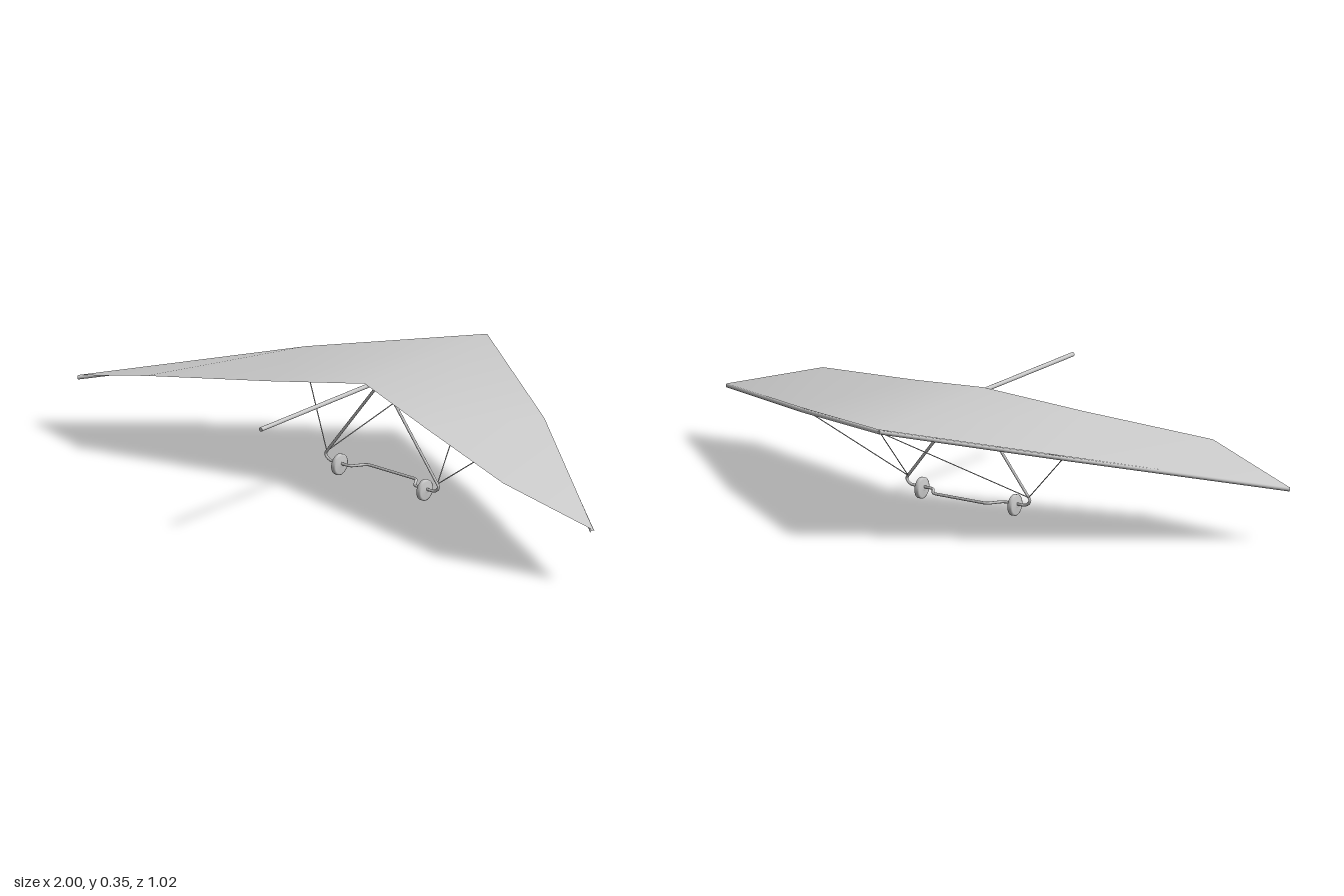
import * as THREE from 'three';

const material = new THREE.MeshStandardMaterial({ color: 0xcccccc });
const clothMaterial = new THREE.MeshStandardMaterial({ color: 0xcccccc, side: THREE.DoubleSide });
const vec = (p) => new THREE.Vector3(...p);

// Straight round bar between two points
function bar(name, from, to, radius, sides = 12) {
  const a = vec(from), b = vec(to);
  const dir = b.clone().sub(a);
  const mesh = new THREE.Mesh(new THREE.CylinderGeometry(radius, radius, dir.length(), sides), material);
  mesh.name = name;
  mesh.position.copy(a).add(b).multiplyScalar(0.5);
  mesh.quaternion.setFromUnitVectors(new THREE.Vector3(0, 1, 0), dir.normalize());
  return mesh;
}

// Tube through points, with each inner corner rounded
function bentTube(name, points, radius, round) {
  const path = new THREE.CurvePath();
  const p = points.map(vec);
  let start = p[0];
  for (let i = 1; i < p.length - 1; i++) {
    const toward = (q) => p[i].clone().add(q.clone().sub(p[i]).setLength(round));
    const enter = toward(p[i - 1]), leave = toward(p[i + 1]);
    path.add(new THREE.LineCurve3(start, enter));
    path.add(new THREE.QuadraticBezierCurve3(enter, p[i], leave));
    start = leave;
  }
  path.add(new THREE.LineCurve3(start, p[p.length - 1]));
  const mesh = new THREE.Mesh(new THREE.TubeGeometry(path, 240, radius, 10), material);
  mesh.name = name;
  return mesh;
}

// Swept cloth wing: front and rear edge points of one half, mirrored
function makeSail() {
  const half = [
    [0, 0.347, -0.512], [0.462, 0.275, -0.232], [1, 0.168, 0.172], // leading edge
    [0, 0.347, 0.04], [0.3, 0.304, 0.118], [0.692, 0.255, 0.222], // trailing edge
  ];
  const faces = [[0, 3, 4], [0, 4, 1], [1, 4, 5], [1, 5, 2]];
  const positions = [], index = [];
  for (const s of [1, -1]) half.forEach(([x, y, z]) => positions.push(s * x, y, z));
  // the mirrored half shares the centre points 0 and 3
  const mirrored = (i) => (i % 3 === 0 ? i : i + 6);
  for (const [a, b, c] of faces) {
    index.push(a, b, c);
    index.push(mirrored(a), mirrored(c), mirrored(b));
  }
  const geometry = new THREE.BufferGeometry();
  geometry.setAttribute('position', new THREE.Float32BufferAttribute(positions, 3));
  geometry.setIndex(index);
  geometry.computeVertexNormals();
  const sail = new THREE.Mesh(geometry, clothMaterial);
  sail.name = 'sail';
  return sail;
}

// Small wheel on the base bar: disc with softened rim and hub
function makeWheel(name, x) {
  const profile = [[0, -0.01], [0.008, -0.01], [0.008, -0.008], [0.027, -0.008], [0.032, -0.005],
    [0.032, 0.005], [0.027, 0.008], [0.008, 0.008], [0.008, 0.01], [0, 0.01]];
  const geometry = new THREE.LatheGeometry(profile.map(([r, y]) => new THREE.Vector2(r, y)), 32);
  const wheel = new THREE.Mesh(geometry, material);
  wheel.name = name;
  wheel.rotation.z = -Math.PI / 2;
  wheel.position.set(x, 0.032, -0.038);
  return wheel;
}

export function createModel() {
  const model = new THREE.Group();
  model.name = 'hangGlider';

  // Wing and central tube
  model.add(makeSail());
  model.add(bar('keel', [0, 0.337, -0.505], [0, 0.337, 0.51], 0.0065));

  // Control frame with a base bar that steps forward in the middle
  const right = [[0, 0.337, -0.038], [0.222, 0.052, -0.038], [0.205, 0.036, -0.038],
    [0.125, 0.036, -0.038], [0.095, 0.036, -0.083]];
  const left = right.slice(1).map(([x, y, z]) => [-x, y, z]);
  model.add(bentTube('controlFrame', [...right, ...left.reverse(), right[0]], 0.0043, 0.011));

  for (const [side, s] of [['left', 1], ['right', -1]]) {
    const nose = [0, 0.337, -0.503], bend = [s * 0.458, 0.266, -0.228], tip = [s * 0.997, 0.162, 0.174];
    const corner = [s * 0.214, 0.062, -0.038];
    // Leading edge tube, bent at the crossbar
    model.add(bentTube(side + 'LeadingEdge', [nose, bend, tip], 0.0065, 0.02));
    model.add(bar(side + 'Crossbar', [0, 0.33, -0.2], [s * 0.458, 0.264, -0.215], 0.005));
    // Rigging wires
    model.add(bar(side + 'SideWire', corner, [s * 0.455, 0.262, -0.212], 0.0016, 6));
    model.add(bar(side + 'NoseWire', corner, nose, 0.0016, 6));
    model.add(makeWheel(side + 'Wheel', s * 0.165));
  }
  return model;
}
